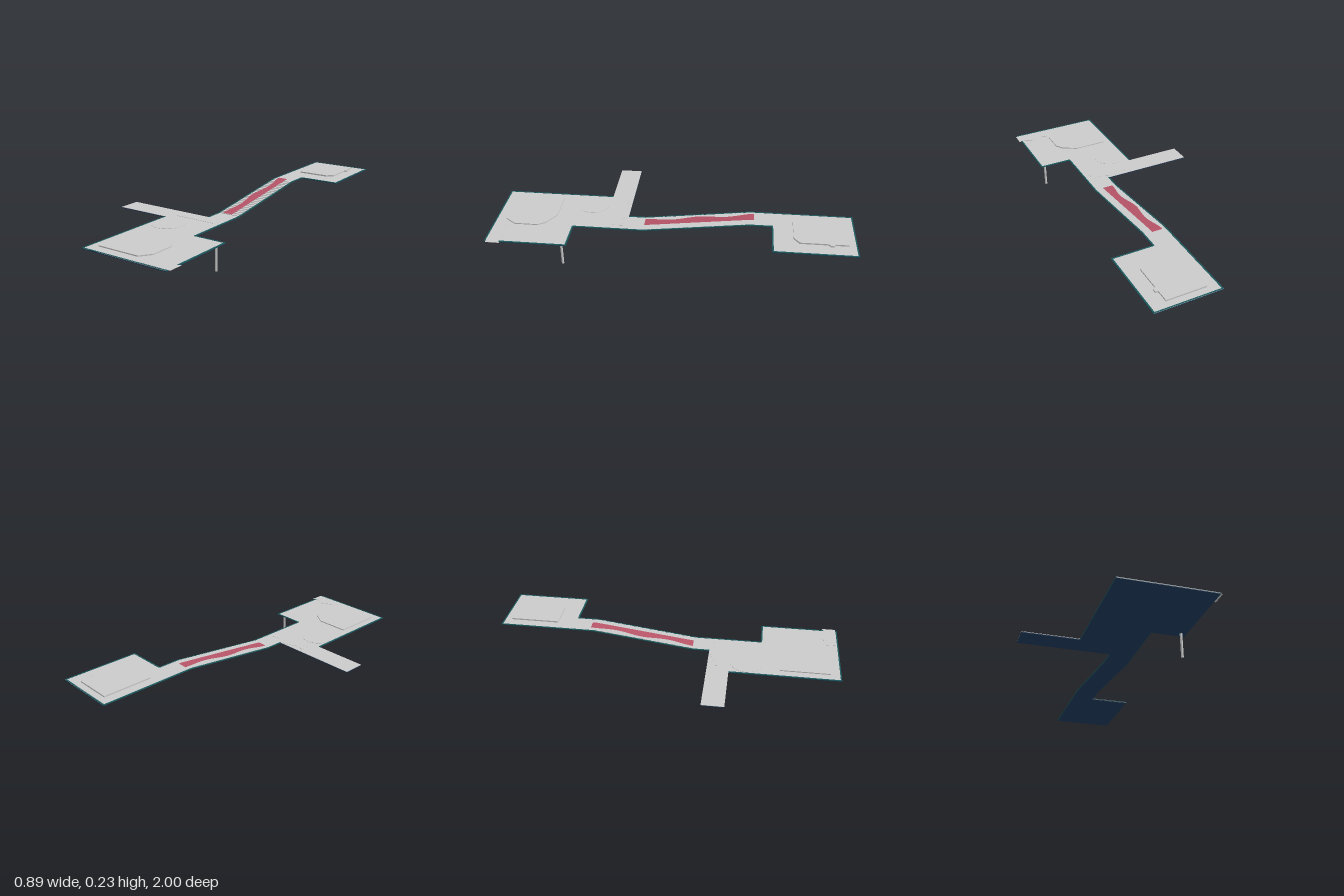
import * as THREE from 'three';

const LOW = 0.145, HIGH = 0.22, Z_LOW = 0.15, Z_HIGH = -0.44;

// Floor height along the model: flat, ramp, flat
const floorY = (z) =>
  LOW + (HIGH - LOW) * THREE.MathUtils.clamp((Z_LOW - z) / (Z_LOW - Z_HIGH), 0, 1);

const mat = (color, side = THREE.FrontSide) => new THREE.MeshStandardMaterial({ color, side });

export function createModel() {
  const model = new THREE.Group();
  const grey = mat(0xcccccc), navy = mat(0x1f3d5e), teal = mat(0x1c5a5e);
  const red = mat(0xb85468, THREE.DoubleSide);

  const add = (name, geometry, material, parent = model) => {
    const mesh = new THREE.Mesh(geometry, material);
    mesh.name = name;
    parent.add(mesh);
    return mesh;
  };
  const group = (name) => {
    const g = new THREE.Group();
    g.name = name;
    model.add(g);
    return g;
  };

  // Layer that follows the floor, between two offsets from its surface
  const layer = (x0, x1, z0, z1, lo, hi) => {
    const zs = [z0, Z_HIGH, Z_LOW, z1].filter((z) => z >= z0 && z <= z1);
    const pts = [
      ...zs.map((z) => new THREE.Vector2(z, floorY(z) + lo)),
      ...zs.reverse().map((z) => new THREE.Vector2(z, floorY(z) + hi)),
    ];
    return new THREE.ExtrudeGeometry(new THREE.Shape(pts), { depth: x1 - x0, bevelEnabled: false })
      .rotateY(-Math.PI / 2).translate(x1, 0, 0);
  };

  // Flat plate from an outline of [x, z] points
  const plate = (points, y, height) => {
    const shape = new THREE.Shape(points.map(([x, z]) => new THREE.Vector2(x, -z)));
    return new THREE.ExtrudeGeometry(shape, { depth: height, bevelEnabled: false })
      .rotateX(-Math.PI / 2).translate(0, y, 0);
  };

  // Floor sections: navy underside with a grey surface
  const floors = {
    upperPlatform: [0.075, 0.44, -1, -0.56],
    corridor: [0.075, 0.205, -0.56, 0.25],
    sideArm: [-0.45, -0.13, 0.25, 0.375],
    lowerHall: [-0.13, 0.205, 0.25, 1],
    lowerWing: [0.205, 0.39, 0.55, 1],
  };
  for (const [name, r] of Object.entries(floors)) {
    const g = group(name);
    add('underside', layer(...r, -0.006, -0.002), navy, g);
    add('floor', layer(...r, -0.002, 0), grey, g);
  }

  // Teal edging along the open sides
  const edging = group('edging');
  const T = 0.008;
  [
    [0.071, 0.071 + T, -1, 0.25],
    [0.201, 0.201 + T, -0.56, 0.55],
    [0.205, 0.44, -0.564, -0.556],
    [0.434, 0.442, -1, -0.556],
    [0.071, 0.442, -1, -0.993],
    [0.205, 0.39, 0.546, 0.554],
    [0.384, 0.392, 0.546, 1],
    [-0.132, 0.392, 0.993, 1],
    [-0.132, -0.124, 0.375, 1],
  ].forEach((r) => add('edgeStrip', layer(...r, -0.003, 0.001), teal, edging));

  // Shallow stairs on the ramp
  const stairs = group('stairs');
  const N = 24, depth = (Z_LOW - Z_HIGH) / N;
  for (let i = 0; i < N; i++) {
    const z = Z_LOW - (i + 0.5) * depth;
    const top = floorY(z - depth / 2);
    add('step', new THREE.BoxGeometry(0.12, 0.005, depth)
      .translate(0.141, top - 0.0025, z), grey, stairs);
  }

  // Red carpet with one wavy edge
  const carpet = new THREE.PlaneGeometry(1, 1, 1, 48).rotateX(-Math.PI / 2);
  const p = carpet.attributes.position;
  for (let i = 0; i < p.count; i++) {
    const t = p.getZ(i) + 0.5;
    const z = THREE.MathUtils.lerp(-0.46, Z_LOW, t);
    const x = p.getX(i) > 0 ? 0.16 : 0.109 - 0.009 * Math.cos(4 * Math.PI * t);
    p.setXYZ(i, x, floorY(z) + 0.0045, z);
  }
  carpet.computeVertexNormals();
  add('carpet', carpet, red);

  // Raised platforms with cut corners
  add('upperDais', plate([
    [0.135, -0.955], [0.355, -0.955], [0.355, -0.885], [0.37, -0.88], [0.37, -0.86],
    [0.355, -0.85], [0.355, -0.7], [0.315, -0.67], [0.135, -0.67],
  ], HIGH, 0.008), grey);
  add('lowerDais', plate([
    [-0.08, 0.66], [0.11, 0.66], [0.19, 0.71], [0.215, 0.75], [0.215, 0.88], [0.17, 0.94], [-0.08, 0.94],
  ], LOW, 0.006), grey);

  // Thin round and wavy floor inlays
  add('roundInlay', new THREE.CylinderGeometry(0.09, 0.09, 0.002, 32)
    .translate(-0.03, LOW + 0.0005, 0.47), grey);
  const wavy = (x0, x1, z, zEnd, amp) => {
    const pts = [[x1, zEnd], [x0, zEnd]];
    for (let i = 0; i <= 16; i++) {
      pts.push([x0 + ((x1 - x0) * i) / 16, z + amp * Math.sin((i / 16) * 3 * Math.PI)]);
    }
    return plate(pts, LOW, 0.0012);
  };
  add('cornerInlay', wavy(0.225, 0.405, 0.91, 0.99, 0.012), grey);
  add('entranceInlay', wavy(-0.08, 0.17, 0.272, 0.33, 0.012), grey);

  // Single support post under the lower wing
  add('supportPost', new THREE.CylinderGeometry(0.007, 0.007, LOW - 0.006, 12)
    .translate(0.36, (LOW - 0.006) / 2, 0.58), grey);

  return model;
}
